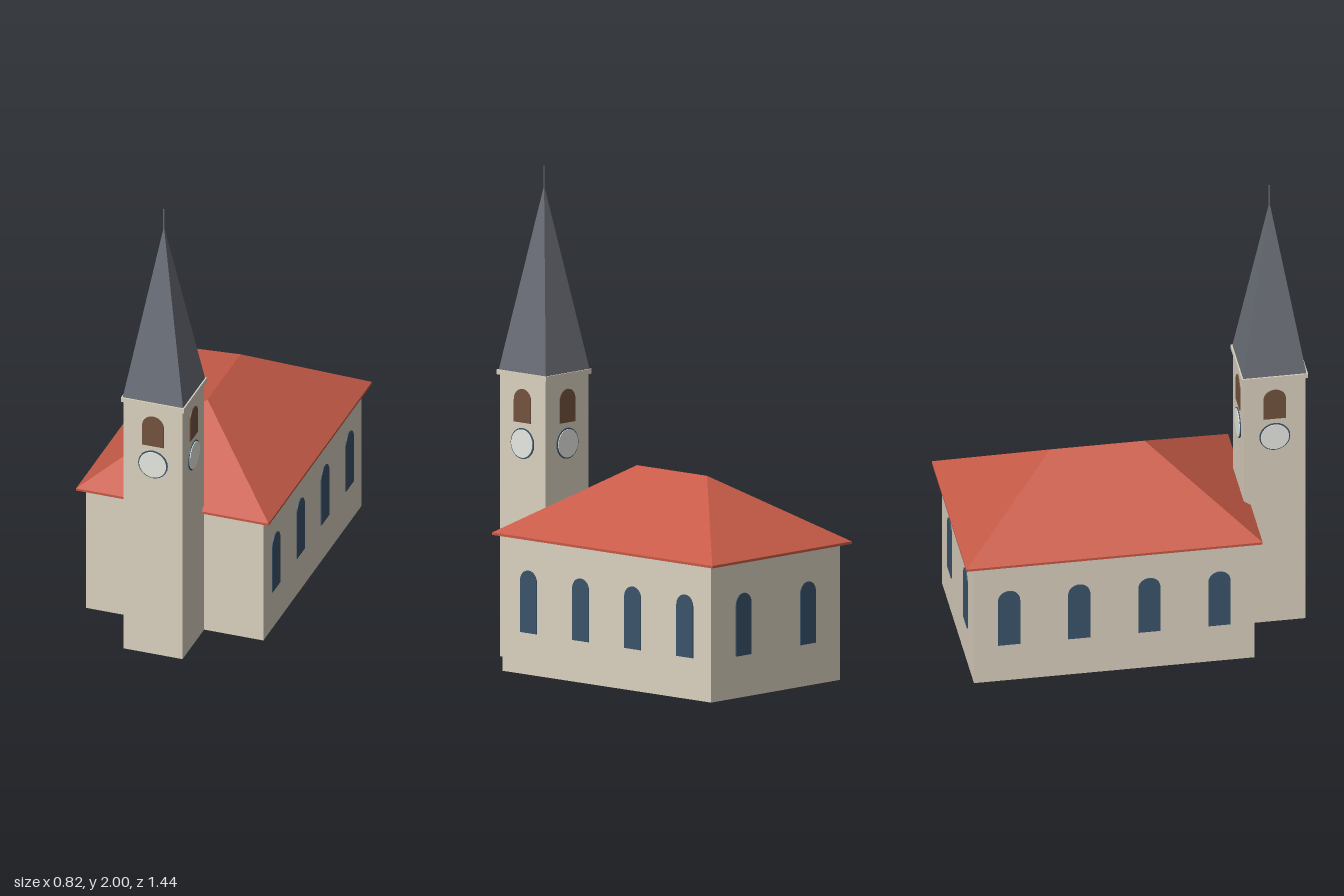
import * as THREE from 'three';
import { toCreasedNormals } from 'three/addons/utils/BufferGeometryUtils.js';

export function createModel() {
  const church = new THREE.Group();
  church.name = 'church';

  const material = (name, color, side = THREE.FrontSide) =>
    Object.assign(new THREE.MeshStandardMaterial({ color, side }), { name });
  const plaster = material('plaster', 0xdad1be, THREE.DoubleSide);
  const tile = material('roofTile', 0xc65a47);
  const slate = material('slate', 0x696d76);
  const glass = material('windowBlue', 0x3a546a);
  const wood = material('brownWood', 0x73533f);
  const dial = material('clockWhite', 0xebebe6);

  const add = (name, geometry, mat, x = 0, y = 0, z = 0, ry = 0) => {
    const mesh = new THREE.Mesh(geometry, mat);
    mesh.name = name;
    mesh.position.set(x, y, z);
    mesh.rotation.y = ry;
    church.add(mesh);
    return mesh;
  };

  // Four-sided wall ring or pyramid, with base w x d standing on y = 0
  const fourSided = (w, h, d, top, open) => {
    const g = new THREE.CylinderGeometry(top * Math.SQRT1_2, Math.SQRT1_2, 1, 4, 1, open);
    g.rotateY(Math.PI / 4).translate(0, 0.5, 0).scale(w, h, d);
    return toCreasedNormals(g, 0.1);
  };

  // Round-headed panel, with its base on y = 0
  const archPanel = (w, h) => {
    const r = w / 2;
    const s = new THREE.Shape();
    s.moveTo(-r, 0).lineTo(r, 0).lineTo(r, h - r);
    s.absarc(0, h - r, r, 0, Math.PI, false);
    s.lineTo(-r, 0);
    return new THREE.ExtrudeGeometry(s, { depth: 0.004, bevelEnabled: false, curveSegments: 8 });
  };

  // Nave walls, open underneath
  const nave = { w: 0.76, d: 1.145, z: -0.1135 };
  add('naveWalls', fourSided(nave.w, 0.556, nave.d, 1, true), plaster, 0, 0, nave.z);

  // Eaves slab with a wooden underside
  const eaveX = 0.412, eaveBack = -0.722, eaveFront = 0.487, eaveY = 0.565;
  add('eaves', new THREE.BoxGeometry(eaveX * 2, 0.01, eaveFront - eaveBack),
    [tile, tile, tile, wood, tile, tile], 0, eaveY - 0.005, (eaveFront + eaveBack) / 2);

  // Hipped roof
  const A = [-eaveX, eaveY, eaveFront], B = [eaveX, eaveY, eaveFront];
  const C = [eaveX, eaveY, eaveBack], D = [-eaveX, eaveY, eaveBack];
  const E = [0, 0.836, 0.075], F = [0, 0.836, -0.31];
  const roof = new THREE.BufferGeometry();
  roof.setAttribute('position', new THREE.Float32BufferAttribute(
    [A, B, E, C, D, F, B, C, F, B, F, E, D, A, E, D, E, F].flat(), 3));
  roof.computeVertexNormals();
  add('hippedRoof', roof, tile);

  // Nave windows: four on each long side, two at the back
  const windowPanel = archPanel(0.09, 0.255);
  for (const side of [-1, 1]) {
    for (let i = 0; i < 4; i++) {
      add('naveWindow', windowPanel, glass,
        side * nave.w / 2, 0.17, nave.z + (1.5 - i) * nave.d / 4, side * Math.PI / 2);
    }
    add('backWindow', windowPanel, glass, side * 0.19, 0.17, nave.z - nave.d / 2, Math.PI);
  }

  // Tower, cornice, spire and finial
  const towerZ = 0.585, half = 0.126;
  add('towerWalls', fourSided(half * 2, 1.16, half * 2, 1, true), plaster, 0, 0, towerZ);
  add('towerCornice', new THREE.BoxGeometry(0.27, 0.02, 0.27), plaster, 0, 1.16, towerZ);
  add('spire', fourSided(0.258, 0.75, 0.258, 0, false), slate, 0, 1.17, towerZ);
  add('finial', new THREE.CylinderGeometry(0.003, 0.003, 0.1, 6), slate, 0, 1.95, towerZ);

  // Belfry opening and clock on each tower face
  const belfry = archPanel(0.092, 0.137);
  const disc = (r, depth) =>
    new THREE.CylinderGeometry(r, r, depth, 24).rotateX(Math.PI / 2).translate(0, 0, depth / 2);
  const clockRim = disc(0.063, 0.004), clockFace = disc(0.058, 0.007);
  for (let i = 0; i < 4; i++) {
    const a = i * Math.PI / 2;
    const x = Math.sin(a) * half, z = towerZ + Math.cos(a) * half;
    add('belfryOpening', belfry, wood, x, 0.967, z, a);
    add('clockRim', clockRim, glass, x, 0.882, z, a);
    add('clockFace', clockFace, dial, x, 0.882, z, a);
  }

  return church;
}
